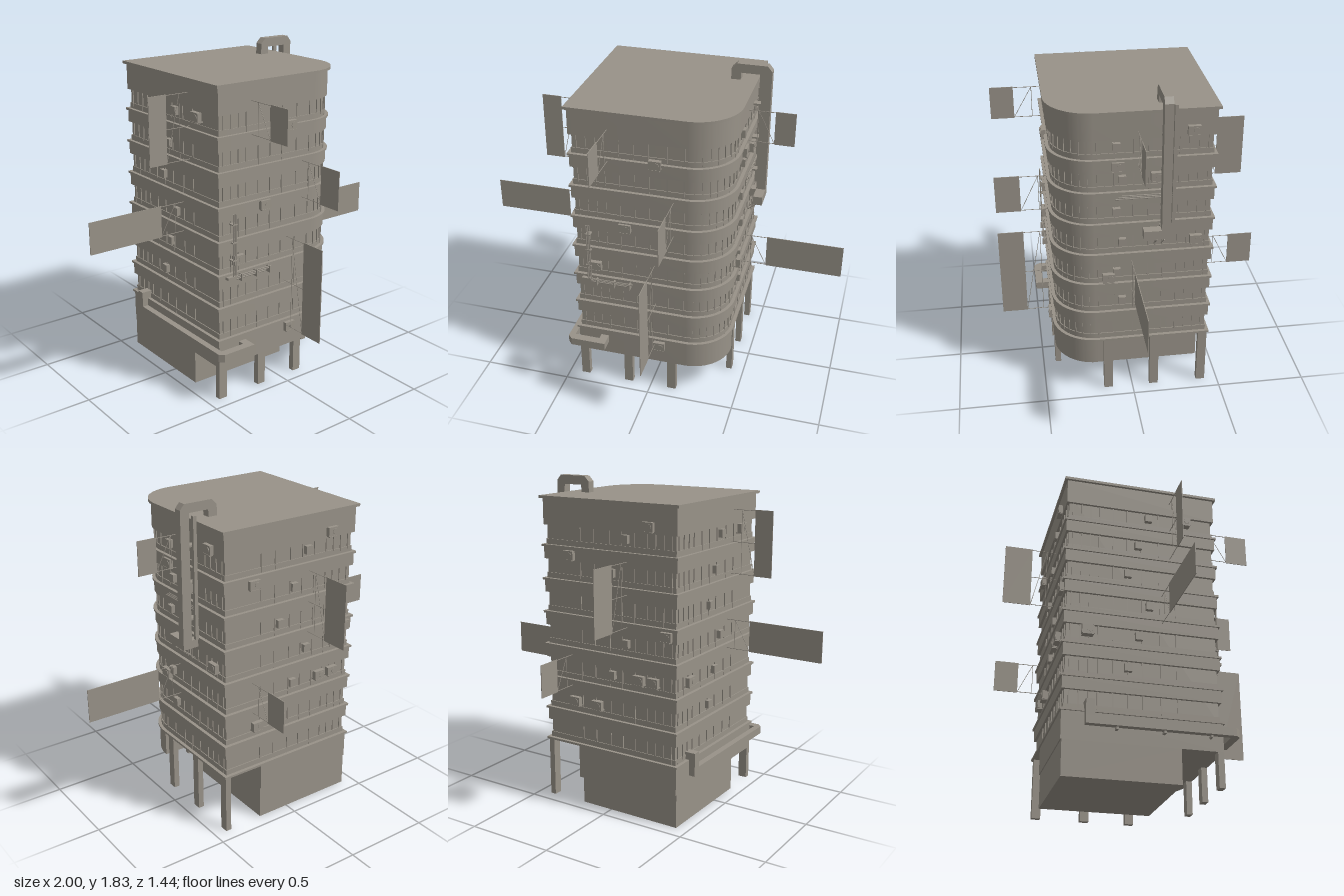
import * as THREE from 'three';
import { toCreasedNormals } from 'three/addons/utils/BufferGeometryUtils.js';

export function createModel() {
  const root = new THREE.Group();
  root.name = 'building';
  const concrete = new THREE.MeshStandardMaterial({ color: 0x989288 });
  concrete.name = 'warm grey concrete';

  const add = (name, geo, parent = root) => {
    const m = new THREE.Mesh(geo, concrete);
    m.name = name;
    parent.add(m);
    return m;
  };
  const group = (name) => {
    const g = new THREE.Group();
    g.name = name;
    root.add(g);
    return g;
  };
  // Box given by its limits on each axis
  const box = (name, x0, x1, y0, y1, z0, z1, parent) => {
    const g = new THREE.BoxGeometry(x1 - x0, y1 - y0, z1 - z0);
    g.translate((x0 + x1) / 2, (y0 + y1) / 2, (z0 + z1) / 2);
    return add(name, g, parent);
  };
  // Thin round bar between two points
  const rod = (name, a, b, r, parent) => {
    const p = new THREE.Vector3(...a), q = new THREE.Vector3(...b);
    const m = add(name, new THREE.CylinderGeometry(r, r, p.distanceTo(q), 6), parent);
    m.position.copy(p).lerp(q, 0.5);
    m.quaternion.setFromUnitVectors(new THREE.Vector3(0, 1, 0), q.sub(p).normalize());
    return m;
  };
  // Square plan with one rounded corner at +x +z; cut removes the open bay at +x -z
  const slab = (name, a, y0, y1, cut = false, parent = root) => {
    const r = a - 0.2, s = new THREE.Shape();
    s.moveTo(-a, -a);
    s.lineTo(a - r, -a);
    s.absarc(a - r, r - a, r, -Math.PI / 2, 0, false);
    if (cut) {
      s.lineTo(a, -0.2);
      s.lineTo(0.19, -0.2);
      s.lineTo(0.19, a);
    } else s.lineTo(a, a);
    s.lineTo(-a, a);
    s.closePath();
    const g = new THREE.ExtrudeGeometry(s, { depth: y1 - y0, bevelEnabled: false, curveSegments: 20 });
    g.rotateX(-Math.PI / 2);
    g.translate(0, y0, 0);
    return add(name, toCreasedNormals(g, 0.5), parent);
  };

  // Ground floor, pillars and the lower storey
  box('groundFloor', -0.428, 0.19, 0, 0.19, -0.422, 0.2);
  slab('lowerStorey', 0.428, 0.19, 0.345, true);
  const pillars = group('pillars');
  for (const x of [-0.403, -0.135, 0.125])
    box('frontPillar', x - 0.025, x + 0.025, 0, 0.19, 0.395, 0.428, pillars);
  for (const z of [0.14, -0.125, -0.403])
    box('sidePillar', 0.395, 0.428, 0, 0.345, z - 0.025, z + 0.025, pillars);

  // Storeys: recessed window strip, spandrel and lip
  const storeys = group('storeys');
  const pitch = 0.1867;
  slab('windowCore', 0.413, 0.345, 1.65, false, storeys);
  for (let i = 0; i < 7; i++) {
    const y = 0.355 + i * pitch;
    slab('lip', 0.437, y - 0.012, y, false, storeys);
    const top = i === 6 ? 1.725 : y + pitch - 0.012;
    slab('spandrel', 0.428, y + 0.107, top, false, storeys);
    slab('windowSill', 0.418, y, y + 0.03, false, storeys);

    // Window mullions on straight walls and around the curve
    const mullion = (x, z, turn) => {
      const m = add('mullion', new THREE.BoxGeometry(0.006, 0.107, 0.012), storeys);
      m.position.set(x, y + 0.053, z);
      m.rotation.y = turn;
    };
    for (const t of [-0.39, -0.34, -0.29, -0.24, -0.16, -0.08, 0, 0.1, 0.19]) {
      mullion(t, 0.413, 0);
      mullion(t, -0.413, 0);
      mullion(-0.413, t, Math.PI / 2);
      mullion(0.413, t, Math.PI / 2);
    }
    for (let k = 1; k < 8; k++) {
      const a = (k / 8) * Math.PI / 2;
      mullion(0.2 + 0.213 * Math.sin(a), 0.2 + 0.213 * Math.cos(a), a);
    }
  }
  slab('roof', 0.443, 1.725, 1.74);

  // Projecting sign plates: direction, offset along wall, near, far, bottom, top
  const signs = [
    ['-x', 0.165, 0.56, 0.665, 1.3, 1.665], ['-x', 0.11, 0.57, 1, 0.885, 1.06],
    ['+x', -0.02, 0.57, 0.68, 1.44, 1.63], ['+x', 0.01, 0.57, 1, 0.68, 0.87],
    ['+z', -0.215, 0.58, 0.71, 1.455, 1.64], ['+z', 0.135, 0.58, 0.717, 1.05, 1.265],
    ['+z', 0.03, 0.575, 0.72, 0.315, 0.855],
    ['-z', -0.12, 0.565, 0.72, 1.07, 1.43], ['-z', 0.25, 0.565, 0.7, 0.69, 0.875],
  ];
  for (const [dir, off, near, far, y0, y1] of signs) {
    const g = group('projectingSign');
    const s = dir[0] === '+' ? 1 : -1, alongX = dir[1] === 'x';
    const at = (d, y) => (alongX ? [s * d, y, off] : [off, y, s * d]);
    const lo = Math.min(s * near, s * far), hi = Math.max(s * near, s * far);
    if (alongX) box('signPlate', lo, hi, y0, y1, off - 0.002, off + 0.002, g);
    else box('signPlate', off - 0.002, off + 0.002, y0, y1, lo, hi, g);
    for (const y of [y0 + 0.005, y1 - 0.005]) rod('bracketArm', at(0.41, y), at(near, y), 0.002, g);
    if (y1 - y0 > 0.3) rod('bracketArm', at(0.41, (y0 + y1) / 2), at(near, (y0 + y1) / 2), 0.002, g);
    rod('bracketBrace', at(0.48, y1 - 0.005), at(near, y0 + 0.005), 0.0015, g);
    rod('bracketPost', at(0.48, y0 + 0.005), at(0.48, y1 - 0.005), 0.0015, g);
  }

  // Chimney duct hooked over the roof edge
  const chimney = group('chimneyDuct');
  const hook = new THREE.Shape([
    [0.3, 1.735], [0.3, 1.8], [0.33, 1.83], [0.495, 1.83], [0.52, 1.8], [0.52, 1.04],
    [0.468, 1.04], [0.468, 1.78], [0.352, 1.78], [0.352, 1.735],
  ].map((p) => new THREE.Vector2(...p)));
  const hookGeo = new THREE.ExtrudeGeometry(hook, { depth: 0.046, bevelEnabled: false });
  hookGeo.translate(0, 0, -0.182);
  add('ductRiser', hookGeo, chimney);
  box('ductFoot', 0.468, 0.52, 1.04, 1.09, -0.136, -0.042, chimney);
  box('ductInlet', 0.42, 0.468, 1.04, 1.085, -0.18, -0.136, chimney);
  for (const z of [-0.11, -0.15]) {
    rod('footStrut', [0.43, 0.965, z], [0.515, 1.035, z], 0.003, chimney);
    rod('footStrut', [0.45, 0.965, z], [0.45, 1.035, z], 0.003, chimney);
  }
  for (const y of [1.2, 1.4, 1.6]) box('ductClamp', 0.42, 0.47, y, y + 0.01, -0.18, -0.14, chimney);
  box('thinRiser', 0.445, 0.465, 1.1, 1.77, -0.215, -0.198, chimney);

  // Low horizontal duct around the -x side
  const low = group('lowDuct');
  box('sideRun', -0.475, -0.44, 0.268, 0.312, -0.31, 0.465, low);
  box('frontRun', -0.45, -0.25, 0.268, 0.312, 0.465, 0.51, low);
  const elbow = new THREE.Shape([[-0.475, -0.465], [-0.45, -0.465], [-0.45, -0.51], [-0.475, -0.485]]
    .map((p) => new THREE.Vector2(...p)).reverse());
  const elbowGeo = new THREE.ExtrudeGeometry(elbow, { depth: 0.044, bevelEnabled: false });
  elbowGeo.rotateX(-Math.PI / 2);
  elbowGeo.translate(0, 0.268, 0);
  add('ductElbow', elbowGeo, low);
  box('frontInlet', -0.295, -0.25, 0.268, 0.312, 0.42, 0.465, low);
  box('upturn', -0.475, -0.44, 0.312, 0.4, -0.31, -0.265, low);
  box('wallInlet', -0.47, -0.41, 0.358, 0.4, -0.31, -0.265, low);
  for (const z of [-0.15, 0.1, 0.35]) box('ductBracket', -0.46, -0.42, 0.255, 0.268, z, z + 0.012, low);

  // Pipe bundles on the front and the +x wall
  const pipes = group('pipeBundles');
  for (let i = 0; i < 3; i++) {
    const d = i * 0.009, x = -0.348 + d, y = 0.715 - d;
    rod('frontRiser', [x, y, 0.45], [x, 1.06, 0.45], 0.0035, pipes);
    rod('frontRun', [x, y, 0.45], [-0.09 - 2 * d, y, 0.45], 0.0035, pipes);
    rod('sideRun', [0.45, 1.255 + d, 0.1 - 2 * d], [0.45, 1.255 + d, -0.2], 0.0035, pipes);
  }
  box('pipeTray', -0.385, -0.33, 0.7, 0.715, 0.425, 0.455, pipes);
  for (const x of [-0.3, -0.2, -0.11]) box('pipeHanger', x, x + 0.006, 0.68, 0.72, 0.42, 0.462, pipes);
  for (const y of [0.8, 0.9, 1.0]) box('pipeClamp', -0.355, -0.323, y, y + 0.006, 0.42, 0.456, pipes);

  // Air conditioning boxes with a round fan cover: wall, offset, height
  const wallTurn = { f: 0, r: Math.PI / 2, b: Math.PI, l: -Math.PI / 2 };
  const units = [
    ['f', 0.04, 1.475], ['f', -0.305, 0.8], ['f', -0.13, 1.07], ['f', 0.055, 0.31],
    ['r', 0.085, 1.44], ['r', -0.305, 1.62], ['r', -0.335, 0.98], ['r', 0.135, 0.77], ['r', -0.12, 1.37],
    ['b', -0.26, 1.62], ['b', 0.25, 1.43], ['b', -0.37, 1.06], ['b', -0.29, 0.8], ['b', -0.2, 0.8],
    ['b', 0.225, 0.61], ['b', 0.075, 0.61], ['l', 0.25, 1.55], ['l', -0.3, 0.8],
  ];
  for (const [wall, off, y] of units) {
    const g = group('airUnit');
    box('airUnitCase', -0.033, 0.033, -0.024, 0.024, 0.425, 0.45, g);
    box('airUnitFoot', -0.03, 0.03, -0.03, -0.024, 0.41, 0.452, g);
    const fan = add('fanCover', new THREE.CylinderGeometry(0.016, 0.016, 0.004, 12), g);
    fan.rotation.x = Math.PI / 2;
    fan.position.set(0.01, 0, 0.451);
    g.rotation.y = wallTurn[wall];
    g.position.y = y;
    g.position[wall === 'f' || wall === 'b' ? 'x' : 'z'] = off;
  }

  // Small vents tucked under the spandrels
  const vents = group('vents');
  for (let i = 0; i < 6; i++) {
    const y = 0.61 + i * pitch;
    box('sideVent', -0.437, -0.41, y - 0.022, y + 0.022, -0.1 + 0.06 * (i % 3), -0.06 + 0.06 * (i % 3), vents);
    box('sideVent', 0.41, 0.437, y - 0.022, y + 0.022, 0.04 + 0.03 * (i % 2), 0.08 + 0.03 * (i % 2), vents);
    box('backVent', 0.05 - 0.09 * (i % 3), 0.09 - 0.09 * (i % 3), y - 0.022, y + 0.022, -0.437, -0.41, vents);
  }
  return root;
}
